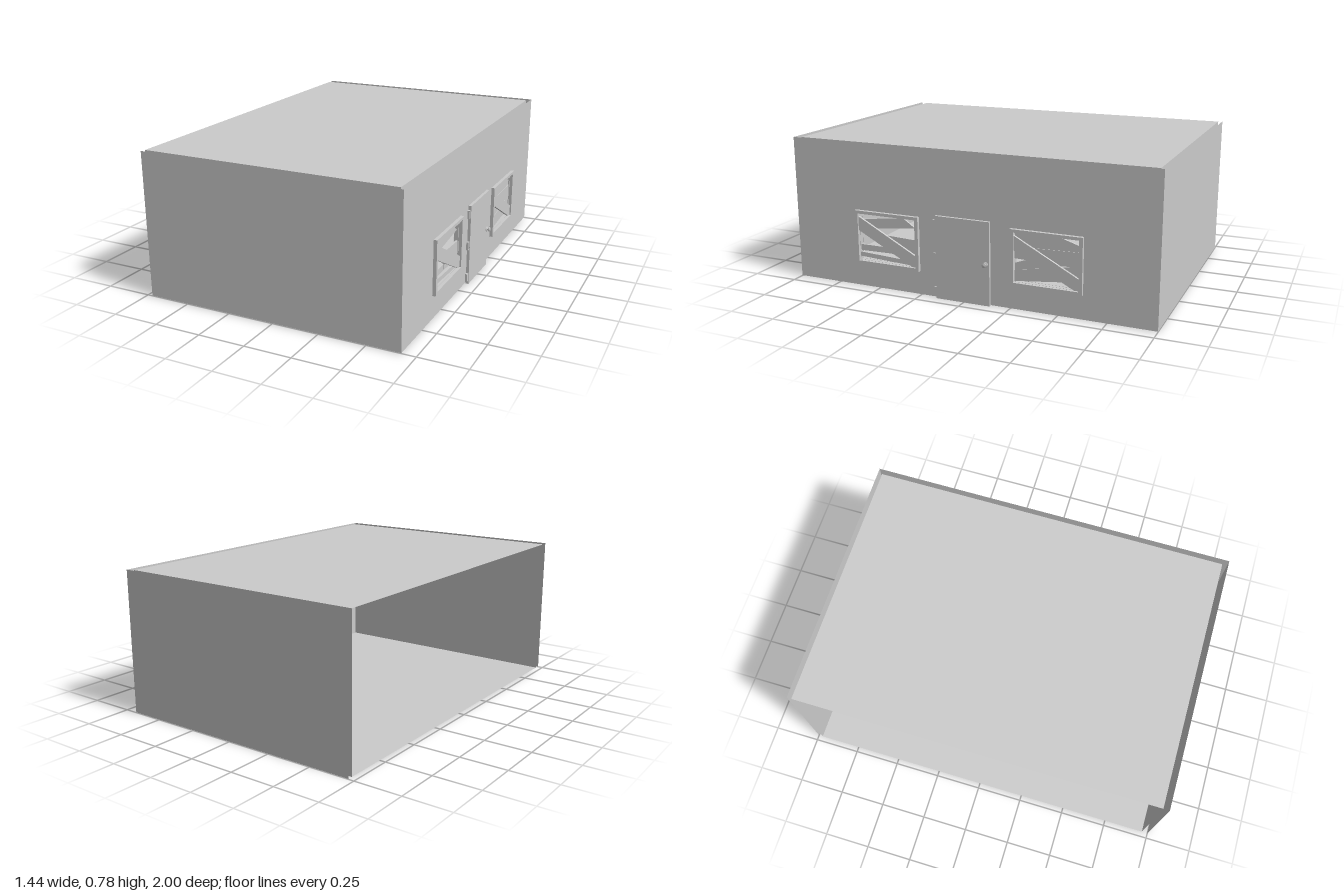
import * as THREE from 'three';

const grey = new THREE.MeshStandardMaterial({ color: 0xcccccc, flatShading: true, side: THREE.DoubleSide });

// Outer shell and the inner lining set inside it
const BACK = -0.722;
const SHELL = { x: 0.677, z0: -1, z1: 1, y0: 0.002, y1: 0.776 };
const LINING = { x: 0.65, z0: -0.976, z1: 0.968, y0: 0.003, y1: 0.773 };
const CENTRES = { left: -0.442, right: 0.442 };

function add(parent, name, geometry, x = 0, y = 0, z = 0) {
  const mesh = new THREE.Mesh(geometry, grey);
  mesh.name = name;
  mesh.position.set(x, y, z);
  parent.add(mesh);
  return mesh;
}

const outline = pts => pts.map(([u, v]) => new THREE.Vector2(u, v));
const rect = (u0, u1, v0, v1) => outline([[u0, v0], [u1, v0], [u1, v1], [u0, v1]]);
const opening = c => rect(c - 0.169, c + 0.169, 0.145, 0.402);

// Shape drawn on the door wall (u = -z, v = y), pushed outwards along +x
function wallPiece(parent, name, points, holes, x0, x1) {
  const shape = new THREE.Shape(points);
  shape.holes = holes.map(h => new THREE.Path(h));
  const geo = x1 > x0
    ? new THREE.ExtrudeGeometry(shape, { depth: x1 - x0, bevelEnabled: false })
    : new THREE.ShapeGeometry(shape);
  geo.rotateY(Math.PI / 2);
  return add(parent, name, geo, x0);
}

// One layer of walls: door wall with window openings and two end walls, back left open
function wallLayer(name, { x, z0, z1, y0, y1 }) {
  const g = new THREE.Group();
  g.name = name;
  wallPiece(g, 'doorWall', rect(-z1, -z0, y0, y1), Object.values(CENTRES).map(opening), x, x);
  for (const [end, z] of [['frontWall', z1], ['backWall', z0]]) {
    add(g, end, new THREE.PlaneGeometry(x - BACK, y1 - y0), (x + BACK) / 2, (y0 + y1) / 2, z);
  }
  return g;
}

// Broken planks nailed over each opening, relative to the window centre
const mainPlank = [[-0.17, 0.385], [0.17, 0.205], [0.17, 0.147], [0.145, 0.147], [-0.17, 0.31]];
const planks = {
  left: [
    [[-0.17, 0.365], [0.09, 0.397], [0.16, 0.35], [-0.17, 0.315]],
    [[-0.02, 0.295], [0.17, 0.288], [0.17, 0.19], [-0.02, 0.2]],
    [[-0.17, 0.228], [0.1, 0.228], [0.17, 0.2], [-0.17, 0.195]],
    [[-0.17, 0.187], [0.17, 0.17], [0.17, 0.147], [-0.17, 0.163]]
  ],
  right: [
    [[-0.17, 0.402], [0.05, 0.402], [0.17, 0.365], [0.17, 0.325], [-0.17, 0.33]],
    [[-0.17, 0.325], [0.17, 0.335], [0.17, 0.255], [-0.17, 0.265]],
    [[-0.17, 0.24], [0.02, 0.31], [0.1, 0.26], [-0.17, 0.19]],
    [[-0.17, 0.205], [0.17, 0.265], [0.17, 0.185], [-0.17, 0.147]]
  ]
};

function boardedWindow(side, centre) {
  const g = new THREE.Group();
  g.name = side + 'Window';
  const hole = [opening(0)];
  wallPiece(g, 'outerFrame', rect(-0.188, 0.188, 0.128, 0.418), hole, 0.677, 0.695);
  wallPiece(g, 'innerFrame', rect(-0.203, 0.203, 0.115, 0.431), hole, 0.652, 0.675);
  planks[side].forEach((p, i) =>
    wallPiece(g, 'plank', outline(p), [], 0.659 + 0.003 * (i % 2), 0.669 + 0.003 * (i % 2)));
  wallPiece(g, 'crossPlank', outline(mainPlank), [], 0.675, 0.687);
  g.position.z = -centre;
  return g;
}

function door() {
  const g = new THREE.Group();
  g.name = 'door';
  wallPiece(g, 'doorPanel', rect(-0.152, 0.147, 0.002, 0.44), [], 0.683, 0.698);
  wallPiece(g, 'doorBacking', rect(-0.147, 0.147, 0.004, 0.435), [], 0.652, 0.675);
  for (const y of [0.04, 0.22, 0.395]) add(g, 'hinge', new THREE.BoxGeometry(0.012, 0.044, 0.02), 0.689, y, 0.157);

  // Knob turned around the x axis
  const profile = outline([[0, 0], [0.014, 0], [0.014, 0.003], [0.006, 0.006], [0.006, 0.012], [0.012, 0.016], [0.012, 0.02], [0, 0.023]]);
  const knob = new THREE.LatheGeometry(profile, 16);
  knob.rotateZ(-Math.PI / 2);
  add(g, 'knob', knob, 0.698, 0.22, -0.127);
  return g;
}

export function createModel() {
  const model = new THREE.Group();
  model.name = 'boardedRoom';
  model.add(wallLayer('outerWalls', SHELL), wallLayer('innerWalls', LINING));

  // Floor and roof sheets close the lining
  const { x, z0, z1, y0, y1 } = LINING;
  for (const [name, y] of [['floor', y0], ['roof', y1]]) {
    const sheet = new THREE.PlaneGeometry(x - BACK, z1 - z0).rotateX(-Math.PI / 2);
    add(model, name, sheet, (x + BACK) / 2, y, (z0 + z1) / 2);
  }

  // Thin underlay below the floor by the door, facing down only
  const underlay = add(model, 'underlay', new THREE.PlaneGeometry(0.74, 0.35).rotateX(Math.PI / 2), 0.29, 0, 0.005);
  underlay.material = new THREE.MeshStandardMaterial({ color: 0xcccccc });

  for (const [side, c] of Object.entries(CENTRES)) model.add(boardedWindow(side, c));
  model.add(door());
  return model;
}
